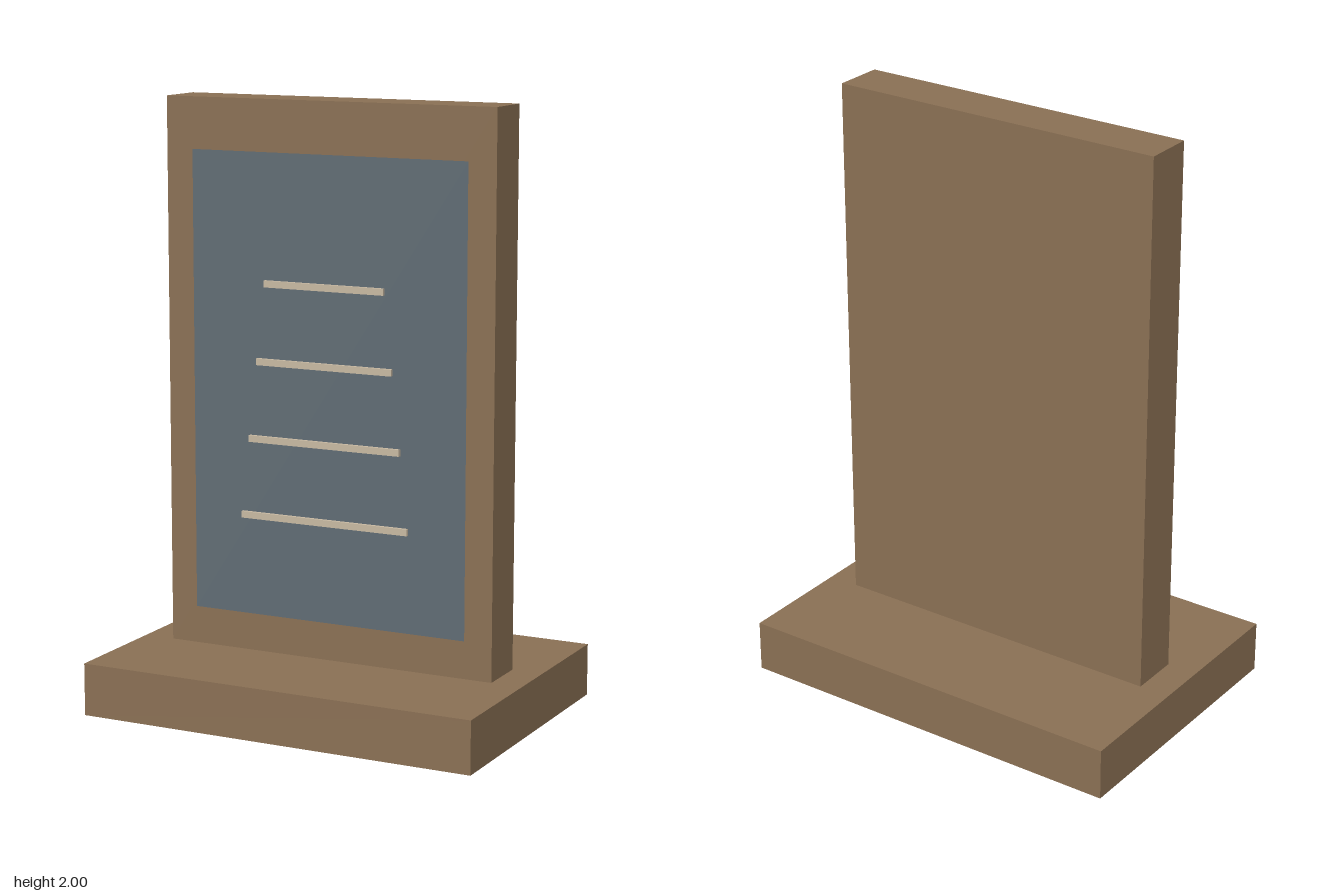
import * as THREE from 'three';

const material = (name, color) => {
  const m = new THREE.MeshStandardMaterial({ color });
  m.name = name;
  return m;
};

export function createModel() {
  const group = new THREE.Group();
  group.name = 'standingPlaque';
  const brown = material('brown', 0x8a7054);
  const slate = material('slate', 0x606c74);
  const cream = material('cream', 0xc8b9a2);

  const add = (name, geometry, mat, x, y, z) => {
    const mesh = new THREE.Mesh(geometry, mat);
    mesh.name = name;
    mesh.position.set(x, y, z);
    group.add(mesh);
    return mesh;
  };

  // Base slab and upright board
  add('base', new THREE.BoxGeometry(1.38, 0.175, 0.96), brown, 0, 0.0875, 0);
  add('board', new THREE.BoxGeometry(1.17, 1.825, 0.17), brown, 0, 1.0875, 0);

  // Flat inset panel on the front face
  add('panel', new THREE.PlaneGeometry(0.98, 1.53), slate, 0, 1.065, 0.087);

  // Thin bars floating in front of the panel, wider towards the bottom
  for (let i = 0; i < 4; i++) {
    const width = 0.6 - i * 0.0575;
    add(`bar${i + 1}`, new THREE.BoxGeometry(width, 0.022, 0.012), cream, 0, 0.641 + i * 0.256, 0.113);
  }
  return group;
}
